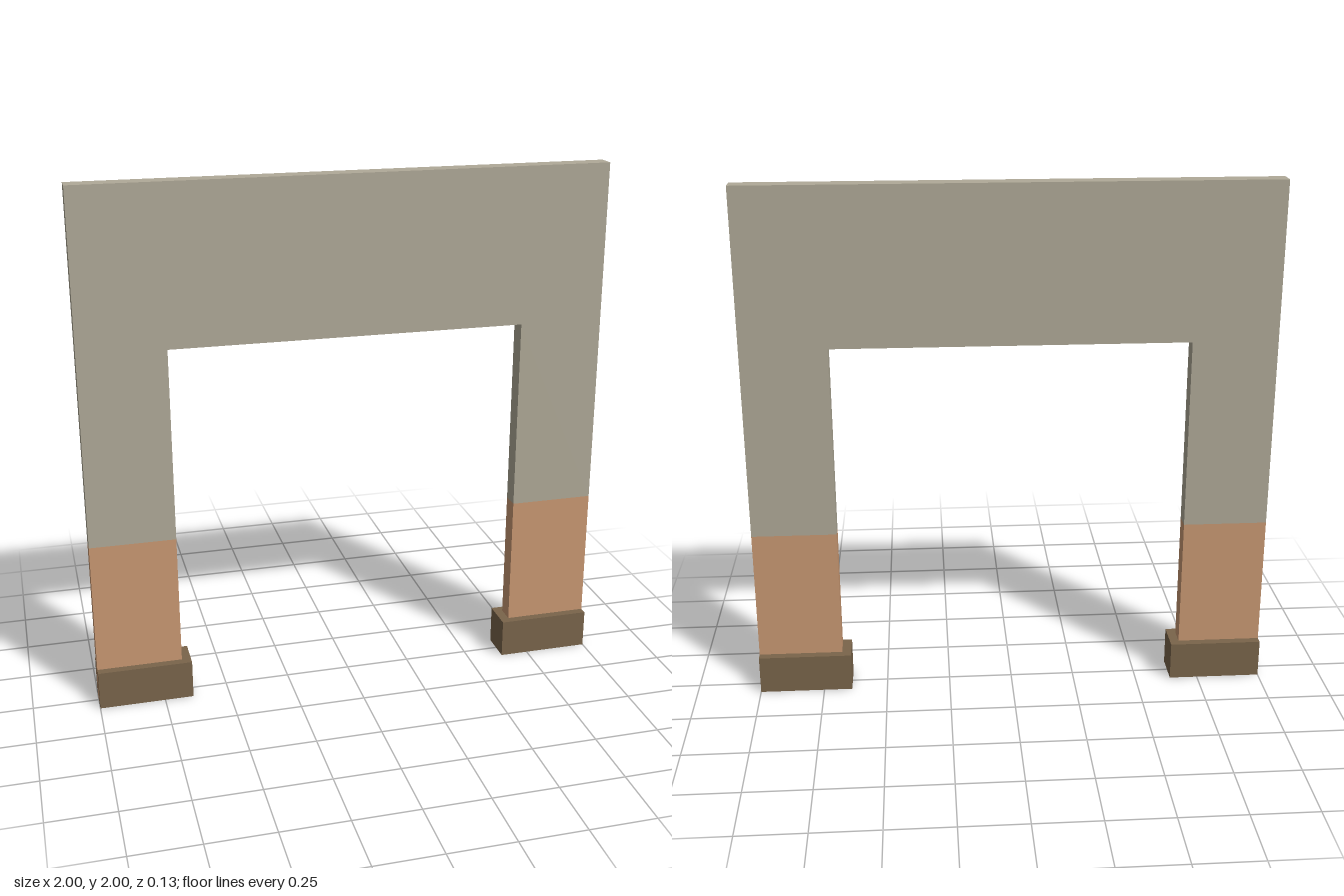
import * as THREE from 'three';

const T = 0.035;      // half thickness of the wall
const FOOT_T = 0.067; // half thickness of the feet
const OUTER = 1, INNER = 0.675, FOOT_INNER = 0.64;
const FOOT_H = 0.15, BAND_TOP = 0.66, OPENING_TOP = 1.4, TOP = 2;

function material(name, color) {
  const m = new THREE.MeshStandardMaterial({ color });
  m.name = name;
  return m;
}

// Prism from an outline of [x, y] corners
function prism(points, depth) {
  const shape = new THREE.Shape(points.map(([x, y]) => new THREE.Vector2(x, y)));
  return new THREE.ExtrudeGeometry(shape, { depth, bevelEnabled: false });
}

export function createModel() {
  const stone = material('stone', 0xb0aa98);
  const clay = material('clay', 0xca9973);
  const darkBrown = material('darkBrown', 0x7a654b);

  const model = new THREE.Group();
  model.name = 'gateway';
  const add = (name, geometry, mat) => {
    const mesh = new THREE.Mesh(geometry, mat);
    mesh.name = name;
    model.add(mesh);
    return mesh;
  };

  // Upper wall: lintel and upper legs in one piece
  const wall = prism([
    [-OUTER, BAND_TOP], [-INNER, BAND_TOP], [-INNER, OPENING_TOP], [INNER, OPENING_TOP],
    [INNER, BAND_TOP], [OUTER, BAND_TOP], [OUTER, TOP], [-OUTER, TOP],
  ], 2 * T);
  add('upperWall', wall.translate(0, 0, -T), stone);

  for (const [side, s] of [['left', 1], ['right', -1]]) {
    // Lower leg, reaching the ground inside the foot
    const leg = add(`${side}LowerLeg`, new THREE.BoxGeometry(OUTER - INNER, BAND_TOP, 2 * T), clay);
    leg.position.set(s * (OUTER + INNER) / 2, BAND_TOP / 2, 0);

    // Foot wrapped around the leg, open at the outer end
    const foot = prism([
      [FOOT_INNER, -FOOT_T], [OUTER, -FOOT_T], [OUTER, -T], [INNER, -T],
      [INNER, T], [OUTER, T], [OUTER, FOOT_T], [FOOT_INNER, FOOT_T],
    ], FOOT_H);
    foot.rotateX(-Math.PI / 2);
    if (s < 0) foot.rotateY(Math.PI);
    add(`${side}Foot`, foot, darkBrown);
  }
  return model;
}
